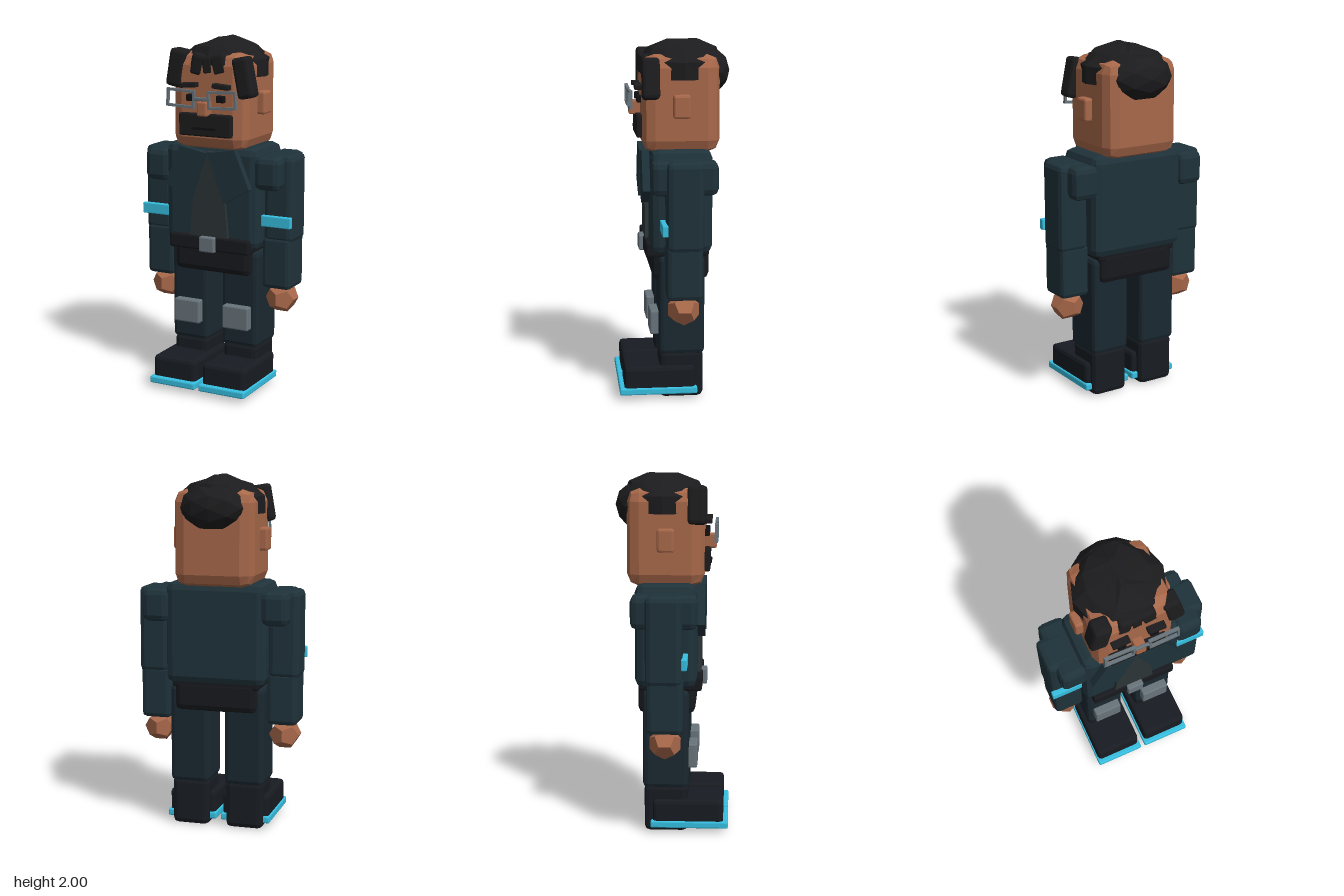
import * as THREE from 'three';
import { RoundedBoxGeometry } from 'three/addons/geometries/RoundedBoxGeometry.js';

const mat = (color) => new THREE.MeshStandardMaterial({ color, flatShading: true, side: THREE.DoubleSide });
const SKIN = mat(0xa8684a), HAIR = mat(0x1c1c1e), JACKET = mat(0x1f323a), TROUSERS = mat(0x1a2830),
  BOOT = mat(0x181c22), BELT = mat(0x17191e), SHIRT = mat(0x2b3437), GLOW = mat(0x36bfe0),
  METAL = mat(0x68747b), BLACK = mat(0x111113);

export function createModel() {
  const model = new THREE.Group();
  model.name = 'figure';

  const add = (name, geometry, material, parent = model) => {
    const mesh = new THREE.Mesh(geometry, material);
    mesh.name = name;
    parent.add(mesh);
    return mesh;
  };

  // Chamfered box given by its extents: [x0, x1], [y0, y1], [z0, z1]
  const block = (name, [x0, x1], [y0, y1], [z0, z1], bevel, material, tilt = 0) => {
    const size = [x1 - x0, y1 - y0, z1 - z0];
    const r = Math.min(bevel, ...size.map((s) => s * 0.45));
    const mesh = add(name, new RoundedBoxGeometry(...size, 1, r), material);
    mesh.position.set((x0 + x1) / 2, (y0 + y1) / 2, (z0 + z1) / 2);
    mesh.rotation.z = tilt;
    return mesh;
  };

  // The same block on both sides
  const pair = (name, [x0, x1], y, z, bevel, material, tilt = 0) => {
    block('left' + name, [x0, x1], y, z, bevel, material, tilt);
    block('right' + name, [-x1, -x0], y, z, bevel, material, -tilt);
  };

  // Flat plate cut from an outline
  const plate = (name, points, z, depth, material, hole) => {
    const shape = new THREE.Shape(points.map((p) => new THREE.Vector2(...p)));
    if (hole) shape.holes.push(new THREE.Path(hole.map((p) => new THREE.Vector2(...p))));
    const mesh = add(name, new THREE.ExtrudeGeometry(shape, { depth, bevelEnabled: false }), material);
    mesh.position.z = z;
    return mesh;
  };

  // Legs and boots
  pair('Leg', [0.045, 0.272], [0.26, 0.82], [-0.155, 0.1], 0.025, TROUSERS);
  pair('BootShaft', [0.05, 0.265], [0.005, 0.28], [-0.148, 0.095], 0.03, BOOT);
  pair('BootToe', [0.022, 0.292], [0.055, 0.195], [-0.1, 0.295], 0.022, BOOT);
  pair('Sole', [0.013, 0.3], [0.036, 0.076], [-0.113, 0.322], 0.008, GLOW);
  pair('KneePad', [0.075, 0.235], [0.37, 0.505], [0.085, 0.147], 0.008, METAL);

  // Hips and belt
  block('hips', [-0.24, 0.24], [0.68, 0.86], [-0.182, 0.135], 0.035, BELT);
  block('belt', [-0.25, 0.25], [0.815, 0.9], [-0.18, 0.172], 0.012, BELT);
  block('buckle', [-0.048, 0.048], [0.812, 0.9], [0.155, 0.196], 0.008, METAL);

  // Jacket
  block('torso', [-0.288, 0.288], [0.835, 1.412], [-0.197, 0.145], 0.045, JACKET);
  block('collar', [-0.19, 0.19], [1.37, 1.43], [-0.16, 0.12], 0.03, JACKET);
  plate('shirt', [[-0.12, 0.88], [0.12, 0.88], [0.1, 1.1], [0.03, 1.38], [-0.03, 1.38], [-0.1, 1.1]], 0.13, 0.035, SHIRT);
  for (const s of [1, -1]) {
    const outline = [[0.17, 1.405], [0.26, 1.19], [0.105, 1.1], [0.005, 1.375]];
    plate(s > 0 ? 'leftLapel' : 'rightLapel', outline.map(([x, y]) => [x * s, y]), 0.145, 0.042, JACKET);
  }

  // Arms
  pair('ShoulderPad', [0.265, 0.42], [1.185, 1.37], [-0.213, 0.151], 0.035, JACKET);
  pair('UpperArm', [0.29, 0.463], [0.88, 1.372], [-0.13, 0.07], 0.03, JACKET);
  pair('Forearm', [0.283, 0.455], [0.615, 0.915], [-0.125, 0.072], 0.025, JACKET);
  pair('ArmBand', [0.29, 0.468], [0.975, 1.037], [0.065, 0.097], 0.005, GLOW);
  for (const s of [1, -1]) {
    const hand = add(s > 0 ? 'leftHand' : 'rightHand', new THREE.DodecahedronGeometry(0.092), SKIN);
    hand.position.set(0.37 * s, 0.55, -0.025);
    hand.scale.y = 0.96;
  }

  // Head and face
  block('head', [-0.228, 0.228], [1.388, 1.925], [-0.245, 0.183], 0.07, SKIN);
  pair('Ear', [0.2, 0.272], [1.585, 1.712], [-0.075, 0.018], 0.012, SKIN);
  block('nose', [-0.03, 0.03], [1.585, 1.665], [0.17, 0.246], 0.008, SKIN);
  block('beard', [-0.16, 0.16], [1.47, 1.595], [0.165, 0.212], 0.008, HAIR);
  block('mouth', [-0.075, 0.075], [1.507, 1.523], [0.2, 0.22], 0.003, BLACK);
  pair('Eye', [0.068, 0.116], [1.66, 1.698], [0.175, 0.208], 0.005, BLACK);
  pair('Eyebrow', [0.05, 0.15], [1.735, 1.762], [0.175, 0.222], 0.005, HAIR, -0.08);

  // Spectacles
  const rect = (w, h) => [[-w, -h], [w, -h], [w, h], [-w, h]];
  for (const s of [1, -1]) {
    const rim = plate(s > 0 ? 'leftRim' : 'rightRim', rect(0.086, 0.05), 0.237, 0.018, METAL, rect(0.074, 0.036));
    rim.position.set(0.126 * s, 1.68, 0.237);
    rim.rotation.z = 0.05 * s;
  }
  block('bridge', [-0.048, 0.048], [1.67, 1.69], [0.235, 0.252], 0.004, METAL);

  // Hair cap: [half width, front z, back z, side y, front and back y] per ring
  const rings = [
    [0.03, 0.03, -0.14, 1.99, 2],
    [0.175, 0.145, -0.245, 1.948, 1.955],
    [0.25, 0.172, -0.265, 1.885, 1.905],
    [0.252, 0.165, -0.255, 1.79, 1.885],
    [0.2, 0.13, -0.2, 1.8, 1.88],
  ];
  const sides = 12, points = [0, 2.0, -0.055], faces = [];
  rings.forEach(([w, front, back, sideY, endY], r) => {
    for (let i = 0; i < sides; i++) {
      const a = (i / sides) * Math.PI * 2;
      const z = (front + back) / 2 + ((front - back) / 2) * Math.cos(a);
      points.push(w * Math.sin(a), Math.abs(Math.cos(a)) < 0.6 ? sideY : endY, z);
      const p = 1 + r * sides + i, q = 1 + r * sides + ((i + 1) % sides);
      if (r === 0) faces.push(0, p, q);
      if (r < rings.length - 1) faces.push(p, p + sides, q + sides, p, q + sides, q);
    }
  });
  const cap = new THREE.BufferGeometry();
  cap.setAttribute('position', new THREE.Float32BufferAttribute(points, 3));
  cap.setIndex(faces);
  cap.computeVertexNormals();
  add('hairCap', cap, HAIR);

  // Bulge of hair at the back
  const bulge = add('hairBack', new THREE.IcosahedronGeometry(1, 1), HAIR);
  bulge.scale.set(0.2, 0.135, 0.135);
  bulge.position.set(0, 1.825, -0.185);

  // Locks over the forehead
  block('rightSideLock', [-0.245, -0.145], [1.73, 1.94], [0.09, 0.19], 0.02, HAIR, -0.17);
  block('leftSideLock', [0.165, 0.26], [1.685, 1.91], [0.09, 0.187], 0.02, HAIR, 0.2);
  block('rightLock', [-0.105, -0.02], [1.795, 1.92], [0.12, 0.187], 0.02, HAIR, -0.2);
  block('leftLock', [0.02, 0.115], [1.8, 1.92], [0.1, 0.185], 0.02, HAIR, 0.25);
  block('middleLock', [-0.04, 0.04], [1.8, 1.91], [0.13, 0.185], 0.02, HAIR, 0.1);

  return model;
}
